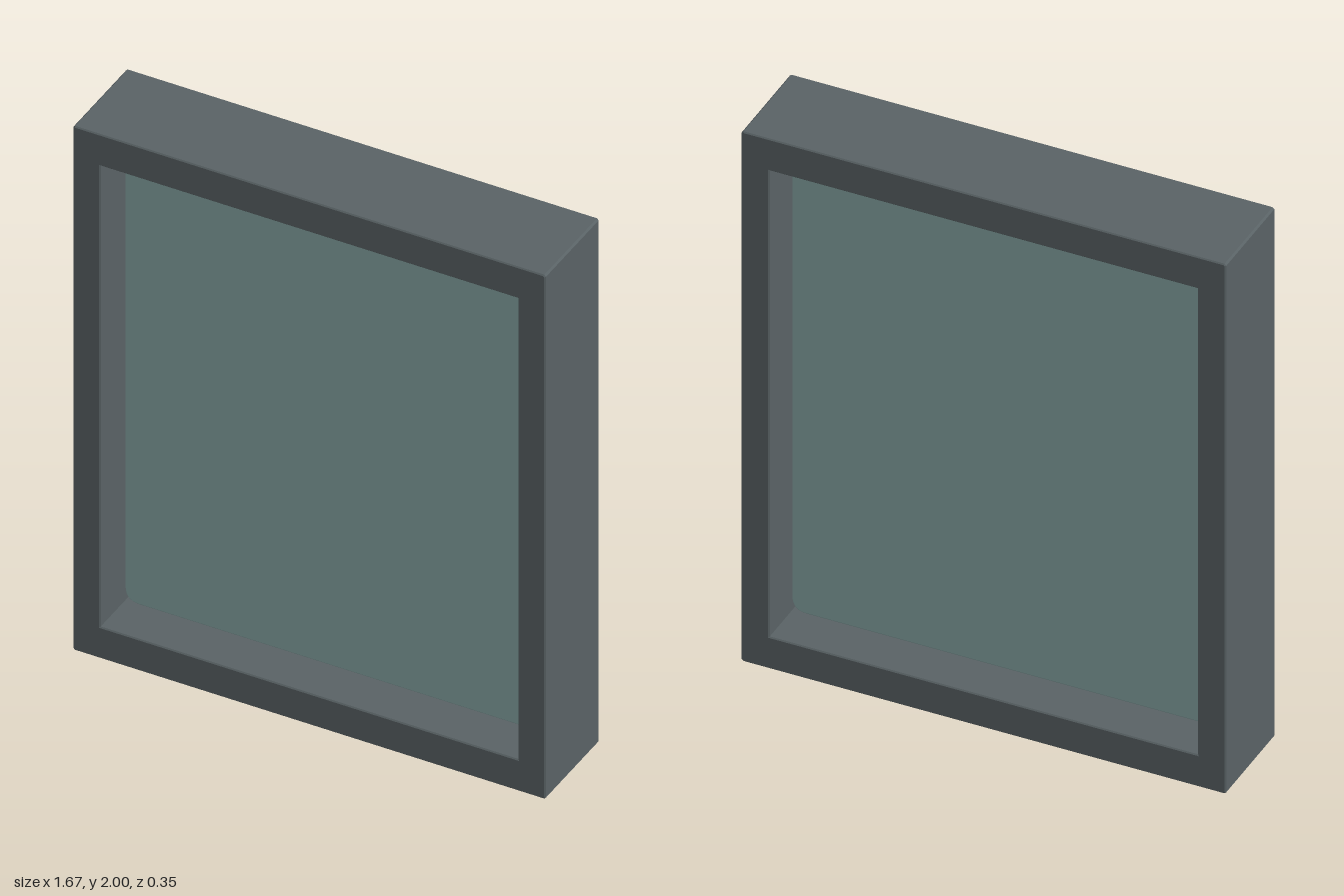
import * as THREE from 'three';

// Rectangle centred on the origin, with optional rounded corners
function roundedRect(target, w, h, r) {
  const x = w / 2, y = h / 2;
  target.moveTo(-x + r, -y);
  target.lineTo(x - r, -y);
  target.quadraticCurveTo(x, -y, x, -y + r);
  target.lineTo(x, y - r);
  target.quadraticCurveTo(x, y, x - r, y);
  target.lineTo(-x + r, y);
  target.quadraticCurveTo(-x, y, -x, y - r);
  target.lineTo(-x, -y + r);
  target.quadraticCurveTo(-x, -y, -x + r, -y);
  return target;
}

// Bevelled slab, centred in z, whose overall depth includes the bevels
function slab(shape, depth, bevel, curveSegments) {
  const geometry = new THREE.ExtrudeGeometry(shape, {
    depth: depth - 2 * bevel,
    bevelEnabled: true,
    bevelThickness: bevel,
    bevelSize: bevel,
    bevelOffset: -bevel,
    bevelSegments: 1,
    curveSegments,
  });
  geometry.translate(0, 1, -depth / 2 + bevel);
  return geometry;
}

export function createModel() {
  const frameMaterial = new THREE.MeshStandardMaterial({ color: 0x596265 });
  frameMaterial.name = 'slate frame';
  const glassMaterial = new THREE.MeshStandardMaterial({ color: 0x86a5a4 });
  glassMaterial.name = 'pale teal glass';

  const group = new THREE.Group();
  group.name = 'window';

  // Deep surround with a rectangular opening
  const outline = roundedRect(new THREE.Shape(), 1.67, 2, 0.006);
  const opening = new THREE.Path();
  opening.moveTo(-0.738, -0.88).lineTo(-0.738, 0.88).lineTo(0.738, 0.88).lineTo(0.738, -0.88).closePath();
  outline.holes.push(opening);
  const frame = new THREE.Mesh(slab(outline, 0.35, 0.004, 1), frameMaterial);
  frame.name = 'frame';

  // Pane with rounded corners, set midway through the frame
  const paneShape = roundedRect(new THREE.Shape(), 1.476, 1.76, 0.05);
  const pane = new THREE.Mesh(slab(paneShape, 0.035, 0.008, 8), glassMaterial);
  pane.name = 'glassPane';

  group.add(frame, pane);
  return group;
}
